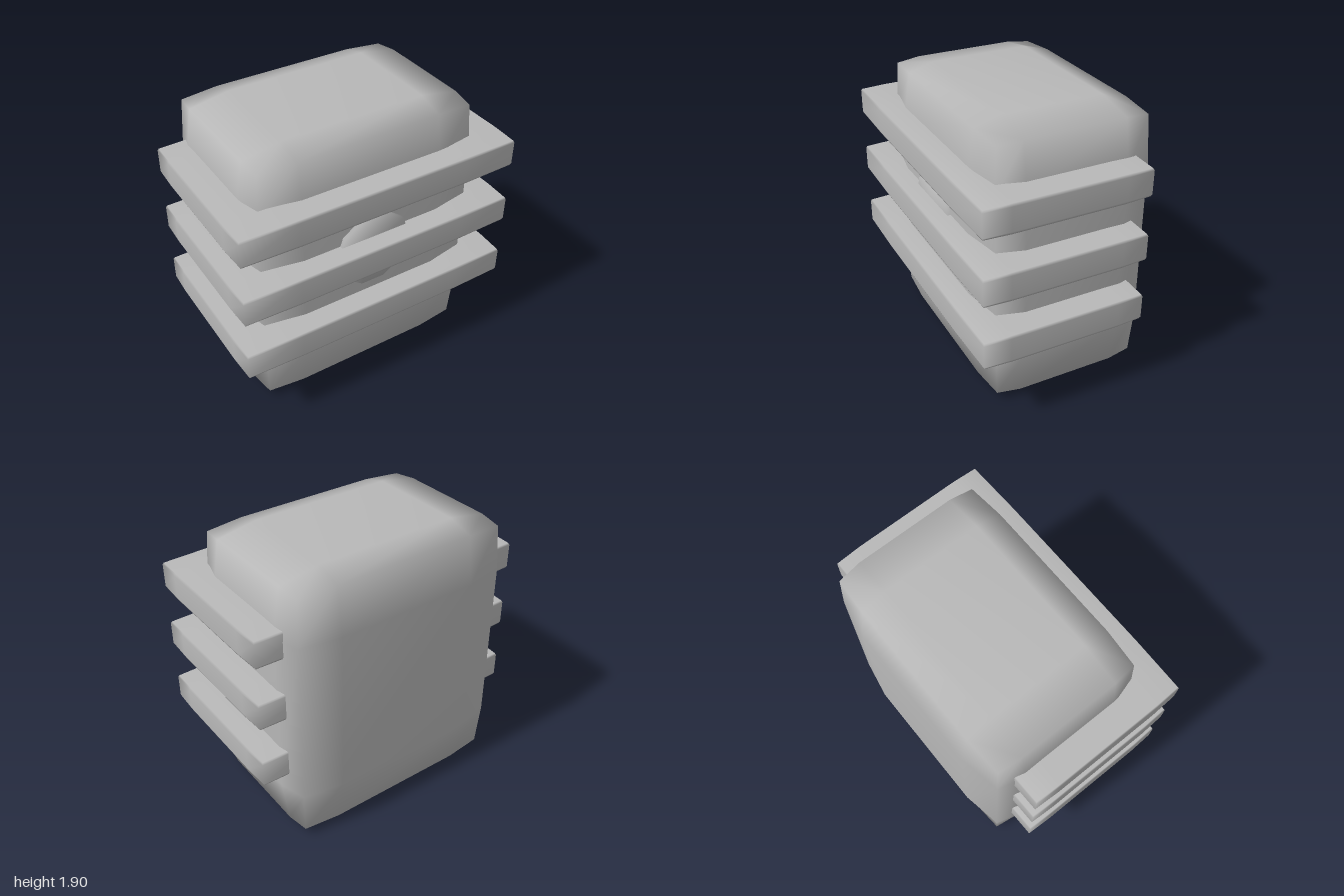
import * as THREE from 'three';
import { mergeVertices } from 'three/addons/utils/BufferGeometryUtils.js';

const grey = new THREE.MeshStandardMaterial({ color: 0xb8b8b8 });
grey.name = 'plain grey';

// Weld the corners so the whole surface shades smoothly
function smooth(geometry) {
  geometry.deleteAttribute('normal');
  geometry.deleteAttribute('uv');
  const welded = mergeVertices(geometry, 1e-4);
  welded.computeVertexNormals();
  return welded;
}

// Softened block: a 3x3x3 box whose points are pulled in on the edges and corners.
// Each argument lists half sizes [x, y, z] for that kind of point.
function softBlock(face, edge, corner, inner) {
  const geometry = new THREE.BoxGeometry(6, 6, 6, 3, 3, 3);
  const p = geometry.attributes.position;
  for (let i = 0; i < p.count; i++) {
    const c = [p.getX(i), p.getY(i), p.getZ(i)];
    const outer = c.filter((v) => Math.abs(v) > 2).length;
    const size = [face, edge, corner][outer - 1];
    const moved = c.map((v, a) => Math.sign(v) * (Math.abs(v) > 2 ? size[a] : inner[a]));
    p.setXYZ(i, ...moved);
  }
  return smooth(geometry);
}

function add(group, name, geometry, x, y, z) {
  const mesh = new THREE.Mesh(geometry, grey);
  mesh.name = name;
  mesh.position.set(x, y, z);
  group.add(mesh);
}

export function createModel() {
  const model = new THREE.Group();
  model.name = 'bandedBlock';

  // Main rounded body
  add(model, 'body', softBlock(
    [0.825, 0.95, 0.575], [0.775, 0.9, 0.525], [0.757, 0.885, 0.508], [0.5, 0.575, 0.345],
  ), 0, 0.95, -0.07);

  // Three bands gripping the front and sides
  const band = softBlock(
    [1, 0.105, 0.57], [0.992, 0.098, 0.562], [0.985, 0.094, 0.555], [0.6, 0.08, 0.38],
  );
  for (const y of [0.605, 1.055, 1.505]) add(model, 'band', band, 0, y, 0.08);

  // Ten-sided button behind the middle band
  const button = new THREE.CylinderGeometry(0.275, 0.275, 0.2, 10);
  button.rotateX(Math.PI / 2);
  button.rotateZ(Math.PI / 2);
  // turn it so that a flat side lies on top
  const p = button.attributes.position;
  let top = 0;
  for (let i = 0; i < p.count; i++) top = Math.max(top, p.getY(i));
  if (top > 0.27) button.rotateZ(Math.PI / 10);
  add(model, 'button', smooth(button), 0, 1.055, 0.428);

  return model;
}
